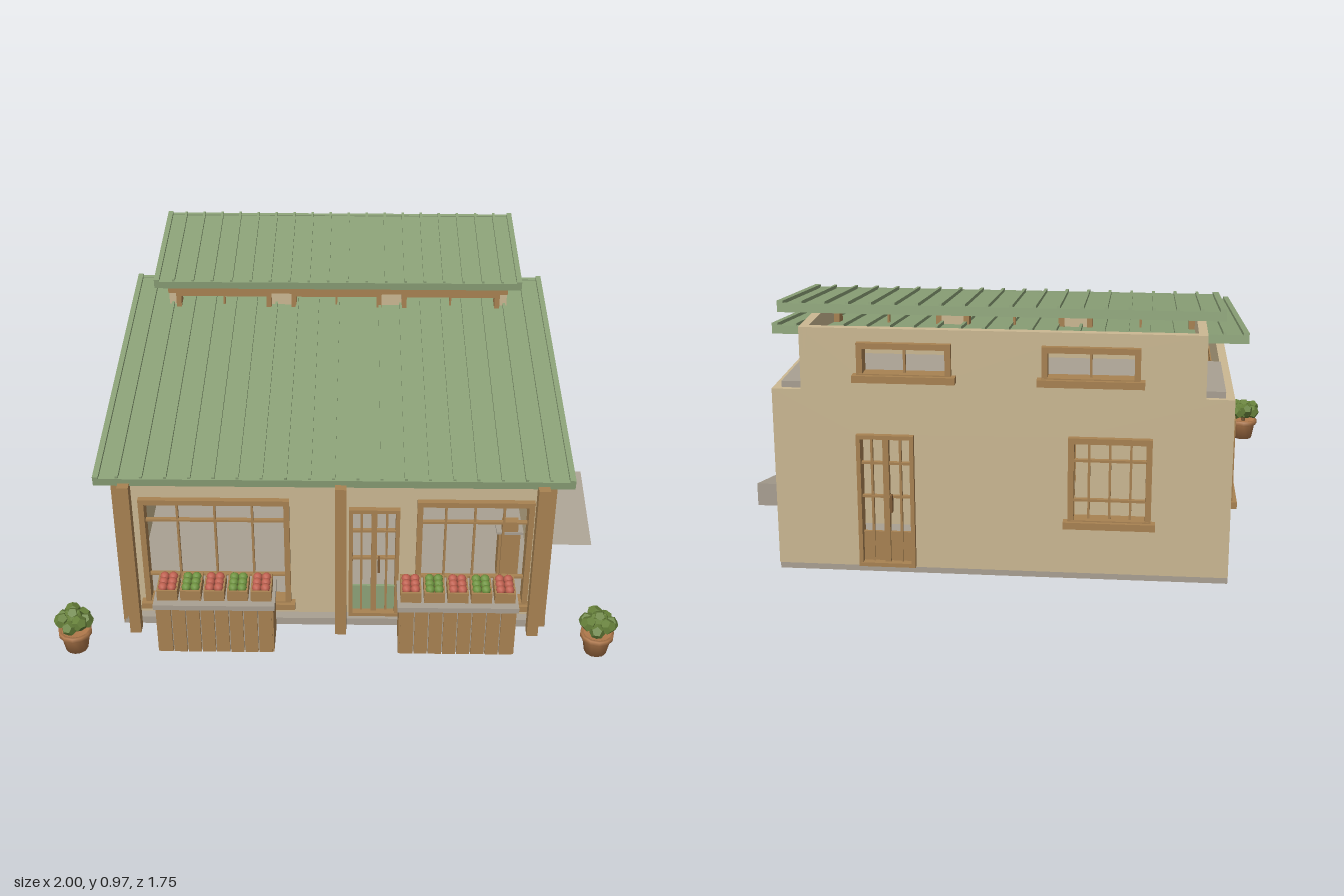
import * as THREE from 'three';

const mat = (name, color) => Object.assign(new THREE.MeshStandardMaterial({ color }), { name });

export function createModel() {
  const M = {
    wall: mat('plaster', 0xcbb892), wood: mat('timber', 0xa88252), darkWood: mat('dark timber', 0x7d5a36),
    roof: mat('roof green', 0x8ca278), stone: mat('stone', 0xa9a092), pot: mat('terracotta', 0xb27a4c),
    leaf: mat('leaf green', 0x66803a), red: mat('fruit red', 0xc0604f), green: mat('fruit green', 0x6f9440),
  };
  const root = new THREE.Group();
  root.name = 'shop';
  const L = -0.785, R = 0.76, FRONT = 0.635, BACK = -0.81, CX = (L + R) / 2;

  const group = (name, parent = root) => {
    const g = new THREE.Group();
    g.name = name;
    parent.add(g);
    return g;
  };
  const add = (parent, name, geo, material, x = 0, y = 0, z = 0) => {
    const m = new THREE.Mesh(geo, material);
    m.name = name;
    m.position.set(x, y, z);
    parent.add(m);
    return m;
  };
  // Box given by its limits
  const box = (parent, name, material, x0, x1, y0, y1, z0, z1) =>
    add(parent, name, new THREE.BoxGeometry(x1 - x0, y1 - y0, z1 - z0), material,
      (x0 + x1) / 2, (y0 + y1) / 2, (z0 + z1) / 2);

  // Framed opening with glazing bars, its outside facing local +z
  function joinery(parent, o) {
    const g = group(o.door ? 'glazedDoor' : 'window', parent);
    const { x0, x1, y0, y1 } = o, f = o.f ?? 0.02, b = 0.004;
    box(g, 'frameLeft', M.wood, x0, x0 + f, y0, y1, -0.035, 0.02);
    box(g, 'frameRight', M.wood, x1 - f, x1, y0, y1, -0.035, 0.02);
    box(g, 'frameTop', M.wood, x0, x1, y1 - f, y1, -0.035, 0.021);
    box(g, 'frameBottom', M.wood, x0, x1, y0, y0 + f, -0.035, 0.021);
    for (let i = 1; i < o.cols; i++) {
      const x = x0 + (x1 - x0) * i / o.cols;
      box(g, 'verticalBar', M.wood, x - b, x + b, y0 + f, y1 - f, -0.014, 0);
    }
    for (const y of o.bars) box(g, 'horizontalBar', M.wood, x0 + f, x1 - f, y - b, y + b, -0.015, 0.001);
    if (o.sill) box(g, 'sill', M.wood, x0 - 0.015, x1 + 0.015, y0 - 0.008, y0 + 0.016, -0.03, 0.035);
    if (o.door) {
      const c = (x0 + x1) / 2;
      box(g, 'doorStile', M.wood, c - 0.01, c + 0.01, y0 + f, y1 - f, -0.02, 0.006);
      box(g, 'lowerPanel', o.door, x0 + f, x1 - f, y0 + f, y0 + 0.12, -0.016, -0.006);
      box(g, 'handle', M.darkWood, c + 0.014, c + 0.022, 0.23, 0.29, 0, 0.02);
    }
  }

  // Wall with real openings; its outside is local z = 0
  function wall(name, a, b, y0, y1, openings, x, z, turn) {
    const g = group(name);
    const rect = (P, l, r, d, u) => {
      const p = new P();
      p.moveTo(l, d); p.lineTo(r, d); p.lineTo(r, u); p.lineTo(l, u); p.closePath();
      return p;
    };
    const s = rect(THREE.Shape, a, b, y0, y1);
    for (const o of openings) s.holes.push(rect(THREE.Path, o.x0 + 0.005, o.x1 - 0.005, o.y0 + 0.005, o.y1 - 0.005));
    add(g, 'wallPanel', new THREE.ExtrudeGeometry(s, { depth: 0.03, bevelEnabled: false }), M.wall, 0, 0, -0.03);
    openings.forEach(o => joinery(g, o));
    g.position.set(x, 0, z);
    g.rotation.y = turn;
  }
  const win = (x0, x1) => ({ x0, x1, y0: 0.205, y1: 0.515, cols: 4, bars: [0.29, 0.43], sill: true });
  const shopWin = (x0, x1) => ({ x0, x1, y0: 0.075, y1: 0.54, cols: 4, bars: [0.2, 0.44], sill: true });
  const door = (x0, x1, panel) => ({ x0, x1, y0: 0.03, y1: 0.505, cols: 4, bars: [0.28, 0.4], door: panel, f: 0.014 });
  const H = Math.PI / 2;
  wall('frontWall', L, R, 0.025, 0.64, [shopWin(-0.7, -0.17), door(0.04, 0.22, M.roof), shopWin(0.28, 0.69)], 0, FRONT, 0);
  wall('backWall', -R, -L, 0.025, 0.655, [door(-0.475, -0.28, M.wood), win(0.24, 0.52)], 0, BACK, Math.PI);
  wall('leftWall', -FRONT, -BACK, 0.025, 0.655, [win(-0.435, -0.13), win(0.28, 0.59)], R, 0, H);
  wall('rightWall', BACK, FRONT, 0.025, 0.655, [win(0.13, 0.435), win(-0.59, -0.28)], L, 0, -H);

  // Raised rear storey
  const hi = (x0, x1) => ({ x0, x1, y0: 0.7, y1: 0.825, cols: 2, bars: [], sill: true });
  const front = (x0, x1) => ({ x0, x1, y0: 0.7, y1: 0.85, cols: 2, bars: [], sill: true });
  wall('upperFrontWall', -0.69, 0.66, 0.655, 0.87, [front(-0.66, -0.28), front(-0.2, 0.16), front(0.24, 0.63)], 0, -0.37, 0);
  wall('upperBackWall', -0.66, 0.69, 0.655, 0.87, [hi(-0.465, -0.15), hi(0.15, 0.475)], 0, BACK, Math.PI);
  wall('upperLeftWall', 0.37, -BACK, 0.655, 0.87, [], 0.66, 0, H);
  wall('upperRightWall', BACK, -0.37, 0.655, 0.87, [], -0.69, 0, -H);
  box(root, 'upperBeam', M.wood, -0.69, 0.66, 0.845, 0.87, -0.375, -0.345);
  box(root, 'flatRoof', M.stone, L + 0.03, R - 0.03, 0.652, 0.677, -0.79, -0.41);

  // Sloping standing-seam roofs, from the front edge (z0, y0) to the back edge (z1, y1)
  function roof(name, x0, x1, z0, y0, z1, y1, panels) {
    const g = group(name), w = x1 - x0, len = Math.hypot(z0 - z1, y1 - y0);
    g.position.set((x0 + x1) / 2, (y0 + y1) / 2, (z0 + z1) / 2);
    g.rotation.x = Math.atan2(y1 - y0, z0 - z1);
    box(g, 'sheet', M.roof, -w / 2 + 0.005, w / 2 - 0.005, -0.01, 0.008, -len / 2 + 0.005, len / 2 - 0.005);
    for (let i = 1; i < panels; i++) {
      const x = -w / 2 + w * i / panels;
      box(g, 'seam', M.roof, x - 0.005, x + 0.005, 0.006, 0.02, -len / 2 + 0.004, len / 2 - 0.004);
    }
    for (const s of [-1, 1]) {
      add(g, 'sideTrim', new THREE.BoxGeometry(0.02, 0.036, len), M.roof, s * (w / 2 - 0.01), 0.002, 0);
      add(g, 'edgeTrim', new THREE.BoxGeometry(w, 0.03, 0.016), M.roof, 0, -0.003, s * (len / 2 - 0.008));
    }
  }
  roof('mainRoof', -0.84, 0.815, 0.695, 0.645, -0.57, 0.802, 20);
  roof('upperRoof', -0.742, 0.712, -0.33, 0.89, -0.87, 0.952, 19);

  // Floor slab and side ramp
  box(root, 'floorSlab', M.stone, L, R, 0, 0.03, BACK + 0.01, 0.67);
  const wedge = new THREE.Shape([[-0.17, 0], [0.22, 0], [0.22, 0.09]].map(p => new THREE.Vector2(...p)));
  const ramp = add(root, 'ramp', new THREE.ExtrudeGeometry(wedge, { depth: 0.24, bevelEnabled: false }), M.stone, 0.76, 0, 0);
  ramp.rotation.y = H;

  // Porch posts and corner trims
  for (const x of [-0.735, 0.012, 0.708]) box(root, 'porchPost', M.wood, x - 0.02, x + 0.02, 0, 0.638, 0.682, 0.724);
  for (const x of [-0.765, 0.738]) box(root, 'cornerPost', M.wood, x - 0.02, x + 0.02, 0, 0.632, 0.63, 0.67);

  // Produce counters with crates of fruit
  const fruitGeo = new THREE.IcosahedronGeometry(0.017, 1);
  for (const [x0, x1] of [[-0.645, -0.218], [0.212, 0.637]]) {
    const g = group('produceCounter');
    box(g, 'counterBody', M.stone, x0 + 0.015, x1 - 0.015, 0, 0.2, 0.69, 0.814);
    box(g, 'counterTop', M.stone, x0, x1, 0.2, 0.22, 0.685, 0.838);
    const n = 8, step = (x1 - x0 - 0.02) / n;
    for (let i = 0; i < n; i++) {
      const x = x0 + 0.01 + step * i;
      box(g, 'frontPlank', M.wood, x + 0.002, x + step - 0.002, 0, 0.2, 0.81, 0.825);
    }
    for (const x of [x0 + 0.006, x1 - 0.016]) box(g, 'sidePlank', M.wood, x, x + 0.01, 0, 0.2, 0.688, 0.822);
    for (let i = 0; i < 5; i++) {
      const c = group('fruitCrate', g);
      c.position.set((x0 + x1) / 2 + (i - 2) * 0.0825, 0.22, 0.757);
      box(c, 'crateBase', M.darkWood, -0.033, 0.033, 0.001, 0.03, -0.05, 0.05);
      for (const s of [-1, 1]) {
        add(c, 'crateEnd', new THREE.BoxGeometry(0.072, 0.042, 0.007), M.wood, 0, 0.022, s * 0.05);
        add(c, 'crateSide', new THREE.BoxGeometry(0.007, 0.042, 0.1), M.wood, s * 0.033, 0.022, 0);
      }
      for (let k = 0; k < 6; k++)
        add(c, 'fruit', fruitGeo, i % 2 ? M.green : M.red, (k % 2 - 0.5) * 0.031, 0.043, (Math.floor(k / 2) - 1) * 0.03);
    }
  }

  // Indoor shelving with goods
  const bottle = new THREE.CylinderGeometry(0.006, 0.008, 0.045, 6);
  const goods = [M.red, M.green, M.darkWood, M.leaf, M.red, M.pot];
  for (const [x0, x1] of [[-0.645, -0.235], [0.02, 0.245], [0.29, 0.65]]) {
    const g = group('shelfUnit');
    for (const x of [x0, x1 - 0.014]) box(g, 'shelfSide', M.wood, x, x + 0.014, 0.03, 0.45, -0.44, -0.35);
    box(g, 'shelfBack', M.wall, x0 + 0.01, x1 - 0.01, 0.03, 0.44, -0.44, -0.43);
    for (const y of [0.05, 0.19, 0.32, 0.44]) {
      box(g, 'shelfBoard', M.wood, x0, x1, y - 0.012, y, -0.438, -0.352);
      if (y > 0.4) continue;
      for (let x = x0 + 0.03, i = 0; x < x1 - 0.02; x += 0.024, i++)
        add(g, 'bottle', bottle, goods[(i + Math.round(y * 20)) % 6], x, y + 0.022, -0.38);
    }
  }
  box(root, 'sideTable', M.wood, 0.6, 0.68, 0.03, 0.235, 0.36, 0.42);
  box(root, 'sideTableTop', M.stone, 0.59, 0.69, 0.235, 0.245, 0.355, 0.425);
  box(root, 'sideTableCrate', M.wood, 0.61, 0.67, 0.245, 0.29, 0.39, 0.42);

  // Potted shrubs
  const potGeo = new THREE.LatheGeometry([[0, 0], [0.04, 0], [0.052, 0.065], [0.06, 0.066], [0.06, 0.084], [0.05, 0.084],
    [0.048, 0.076], [0, 0.076]].map(p => new THREE.Vector2(...p)), 12);
  const leafGeo = new THREE.DodecahedronGeometry(0.029, 0);
  for (const [x, z] of [[-0.936, 0.805], [0.927, 0.795]]) {
    const g = group('pottedShrub');
    g.position.set(x, 0, z);
    add(g, 'pot', potGeo, M.pot);
    add(g, 'stem', new THREE.CylinderGeometry(0.01, 0.01, 0.04, 6), M.darkWood, 0, 0.09, 0);
    add(g, 'shrubCore', new THREE.IcosahedronGeometry(0.046, 0), M.leaf, 0, 0.127, 0);
    for (let i = 0; i < 7; i++) {
      const a = i * Math.PI * 2 / 7;
      const leaf = add(g, 'leafClump', leafGeo, M.leaf, Math.cos(a) * 0.042, 0.122 + (i % 2) * 0.014, Math.sin(a) * 0.042);
      leaf.rotation.y = -a;
    }
    add(g, 'leafClump', leafGeo, M.leaf, 0, 0.146, 0);
  }
  return root;
}
